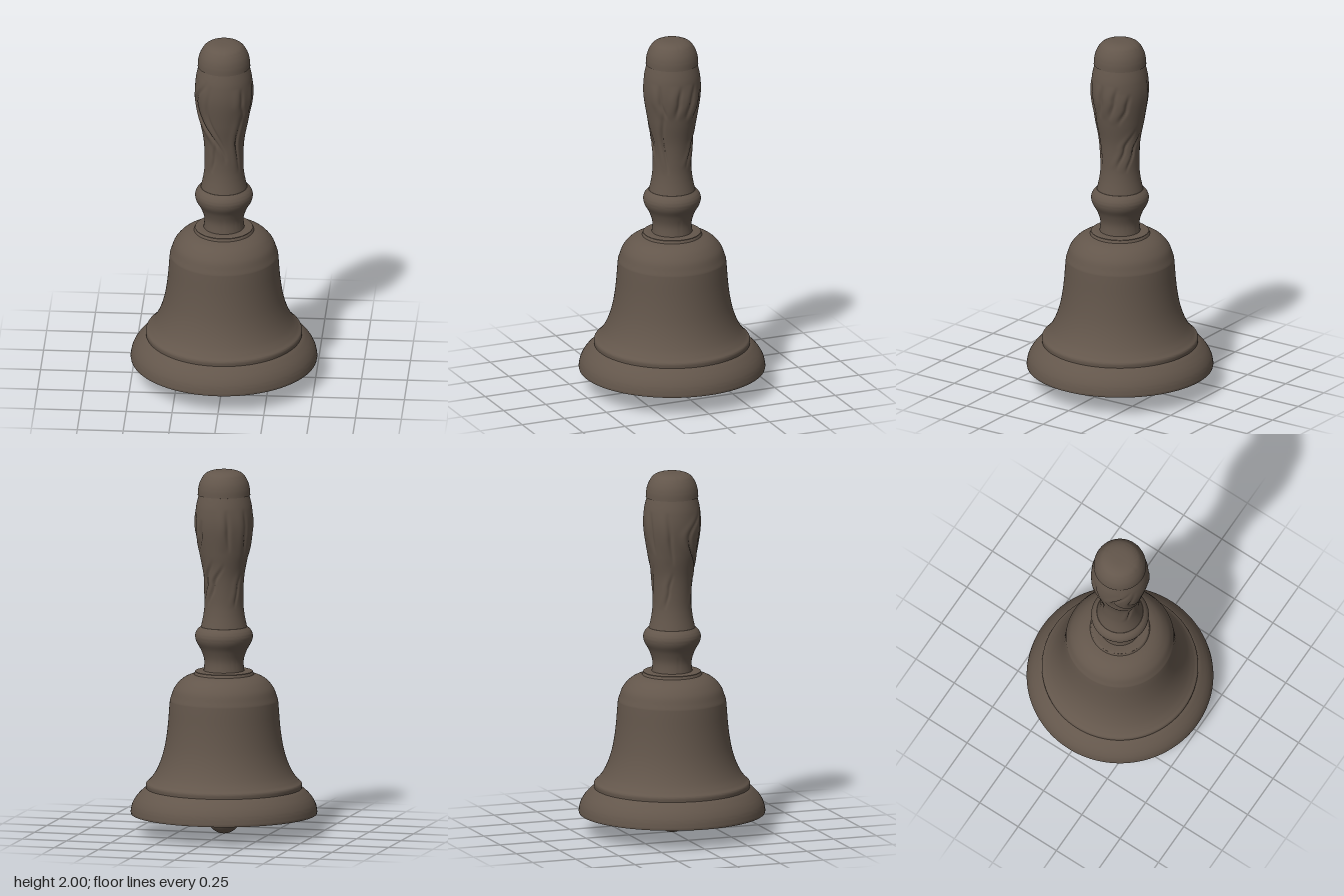
import * as THREE from 'three';
import { mergeVertices, toCreasedNormals } from 'three/addons/utils/BufferGeometryUtils.js';

// Smooth each run of [radius, y] points; runs meet at sharp edges
function profile(...runs) {
  return runs.flatMap((run) => {
    const pts = run.map(([r, y]) => new THREE.Vector2(r, y));
    if (pts.length < 3) return pts;
    return new THREE.SplineCurve(pts).getPoints(pts.length * 4)
      .map((p) => new THREE.Vector2(Math.max(p.x, 0), p.y));
  });
}

function turned(name, material, points, segments = 72) {
  let geo = new THREE.LatheGeometry(points, segments);
  geo.deleteAttribute('uv');
  geo.deleteAttribute('normal');
  geo = toCreasedNormals(mergeVertices(geo, 1e-5), 0.6);
  const mesh = new THREE.Mesh(geo, material);
  mesh.name = name;
  return mesh;
}

// Carved strokes on the grip: [angle, y] at top, middle and bottom, then depth
const strokes = [
  [[-0.6, 1.82], [-1.25, 1.66], [0.15, 1.31], 0.012],
  [[-0.45, 1.8], [-0.6, 1.62], [0.2, 1.33], 0.008],
  [[0.72, 1.78], [0.75, 1.68], [0.95, 1.58], 0.01],
  [[-0.35, 1.44], [-0.45, 1.35], [-0.6, 1.25], 0.008],
  [[0.85, 1.64], [0.7, 1.45], [0.95, 1.25], 0.01],
  [[1.5, 1.78], [1.42, 1.68], [1.3, 1.58], 0.01],
  [[2.05, 1.78], [1.95, 1.69], [1.75, 1.58], 0.01],
  [[2.5, 1.74], [2.4, 1.65], [2.1, 1.55], 0.01],
  [[2.9, 1.52], [2.4, 1.4], [2.0, 1.28], 0.009],
  [[3.4, 1.5], [2.9, 1.38], [2.5, 1.26], 0.009],
  [[3.5, 1.8], [3.55, 1.68], [3.6, 1.56], 0.009],
  [[4.2, 1.8], [4.3, 1.65], [4.4, 1.5], 0.009],
  [[4.4, 1.46], [4.2, 1.36], [4.0, 1.25], 0.007],
];

function carve(angle, y) {
  let offset = 0;
  for (const [top, mid, low, depth] of strokes) {
    const t = (top[1] - y) / (top[1] - low[1]);
    if (t <= 0 || t >= 1) continue;
    const tm = (top[1] - mid[1]) / (top[1] - low[1]);
    const centre = t < tm
      ? THREE.MathUtils.lerp(top[0], mid[0], THREE.MathUtils.smoothstep(t, 0, tm))
      : THREE.MathUtils.lerp(mid[0], low[0], THREE.MathUtils.smoothstep(t, tm, 1));
    const d = Math.atan2(Math.sin(angle - centre), Math.cos(angle - centre));
    const fade = Math.sin(Math.PI * t);
    // Narrow groove with a soft ridge beside it
    offset += depth * fade * (0.5 * Math.exp(-(((d + 0.22) / 0.16) ** 2)) - Math.exp(-((d / 0.07) ** 2)));
  }
  return offset;
}

function createGrip(material) {
  const curve = new THREE.SplineCurve([
    [0.127, 1.13], [0.111, 1.21], [0.105, 1.29], [0.111, 1.42], [0.135, 1.55],
    [0.156, 1.69], [0.153, 1.79], [0.136, 1.867],
  ].map(([r, y]) => new THREE.Vector2(r, y)));
  let geo = new THREE.LatheGeometry(curve.getPoints(90), 144);
  const pos = geo.attributes.position;
  for (let i = 0; i < pos.count; i++) {
    const x = pos.getX(i), y = pos.getY(i), z = pos.getZ(i);
    const r = Math.hypot(x, z);
    const s = (r + carve(Math.atan2(x, z), y)) / r;
    pos.setXYZ(i, x * s, y, z * s);
  }
  geo.deleteAttribute('uv');
  geo.deleteAttribute('normal');
  geo = mergeVertices(geo, 1e-5);
  geo.computeVertexNormals();
  const mesh = new THREE.Mesh(geo, material);
  mesh.name = 'carvedGrip';
  return mesh;
}

export function createModel() {
  const bronze = new THREE.MeshStandardMaterial({ color: 0x63564b });
  bronze.name = 'dark bronze';
  const bell = new THREE.Group();
  bell.name = 'handBell';

  // Hollow bell: inside from crown to lip, then outside back up
  bell.add(turned('bellBody', bronze, profile(
    [[0, 0.82], [0.14, 0.81], [0.22, 0.77], [0.255, 0.7], [0.27, 0.58], [0.295, 0.44],
      [0.34, 0.33], [0.4, 0.25], [0.45, 0.18], [0.475, 0.11]],
    [[0.475, 0.11], [0.506, 0.11]],
    [[0.508, 0.12], [0.5, 0.16], [0.478, 0.2], [0.445, 0.235], [0.424, 0.25]],
    [[0.424, 0.25], [0.424, 0.275], [0.405, 0.293], [0.377, 0.33], [0.35, 0.385], [0.329, 0.45],
      [0.315, 0.52], [0.305, 0.6], [0.298, 0.69], [0.294, 0.735]],
    [[0.294, 0.735], [0.287, 0.755], [0.27, 0.8], [0.237, 0.84], [0.2, 0.864], [0.163, 0.876]],
    [[0.163, 0.876], [0.157, 0.889], [0.14, 0.896], [0, 0.897]],
  ), 96));

  // Waisted collar with a rounded ring
  bell.add(turned('handleCollar', bronze, profile(
    [[0.113, 0.88], [0.107, 0.95], [0.125, 1.01], [0.15, 1.055], [0.157, 1.09], [0.147, 1.118], [0.127, 1.138]],
    [[0.127, 1.138], [0.09, 1.14]],
  )));
  bell.add(createGrip(bronze));

  // Domed end cap
  bell.add(turned('handleCap', bronze, profile(
    [[0.1, 1.855], [0.143, 1.862]],
    [[0.143, 1.862], [0.14, 1.9], [0.128, 1.94], [0.102, 1.978], [0.06, 1.996], [0, 2]],
  )));

  // Clapper hanging from the crown
  bell.add(turned('clapper', bronze, profile(
    [[0, 0], [0.035, 0.006], [0.07, 0.033], [0.09, 0.085], [0.08, 0.135], [0.055, 0.178],
      [0.06, 0.215], [0.07, 0.25], [0.055, 0.3]],
    [[0.055, 0.3], [0.065, 0.36], [0.078, 0.42], [0.06, 0.5], [0.045, 0.62], [0.045, 0.83]],
  ), 40));

  return bell;
}
